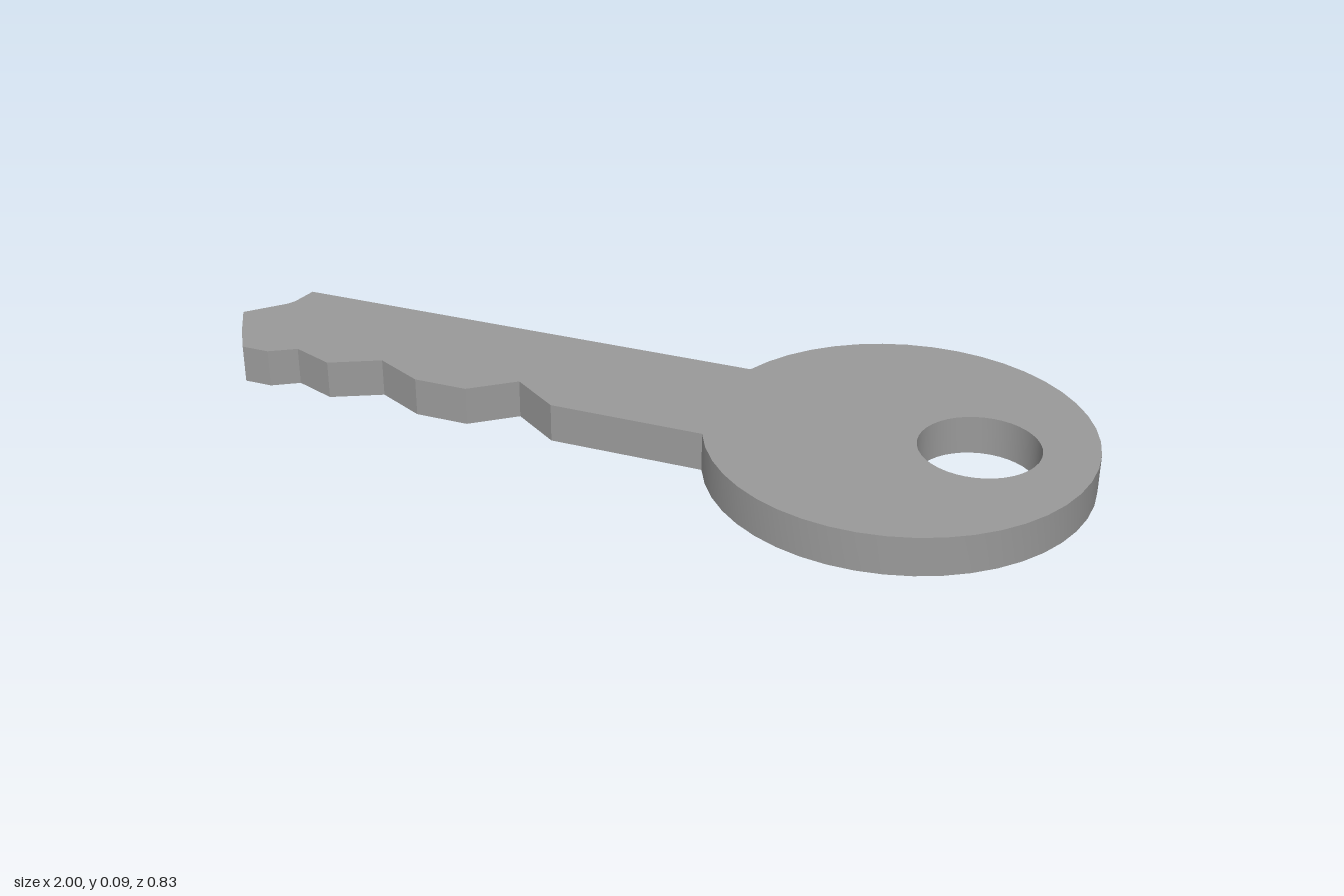
import * as THREE from 'three';
import { toCreasedNormals } from 'three/addons/utils/BufferGeometryUtils.js';

const THICKNESS = 0.087;
const HEAD = { x: 0.586, radius: 0.414 };
const HOLE = { x: 0.755, radius: 0.129 };
const HALF_WIDTH = 0.158;

// Blade edge as [x, z], from the straight back edge round the softened tip and along the teeth
const BLADE = [
  [-0.905, -HALF_WIDTH], [-0.917, -0.095], [-0.927, -0.077], [-1, 0],
  [-0.95, 0.088], [-0.905, HALF_WIDTH], [-0.84, HALF_WIDTH],
  [-0.783, 0.122], [-0.687, HALF_WIDTH],
  [-0.578, 0.103], [-0.467, HALF_WIDTH], [-0.345, HALF_WIDTH],
  [-0.25, 0.083], [-0.142, HALF_WIDTH],
];

export function createModel() {
  // Outline: toothed blade, then the round head from one shoulder to the other
  const shoulder = Math.PI - Math.asin(HALF_WIDTH / HEAD.radius);
  const outline = new THREE.Shape();
  BLADE.forEach(([x, z], i) => (i ? outline.lineTo(x, z) : outline.moveTo(x, z)));
  outline.absarc(HEAD.x, 0, HEAD.radius, shoulder, -shoulder, true);
  outline.closePath();

  // Ring hole in the head
  const hole = new THREE.Path();
  hole.absarc(HOLE.x, 0, HOLE.radius, 0, Math.PI * 2, false);
  outline.holes.push(hole);

  // Extrude and lay flat on the ground
  const geometry = new THREE.ExtrudeGeometry(outline, {
    depth: THICKNESS, bevelEnabled: false, curveSegments: 20,
  });
  geometry.rotateX(Math.PI / 2);
  geometry.translate(0, THICKNESS, 0);

  const key = new THREE.Mesh(
    toCreasedNormals(geometry, Math.PI / 9),
    new THREE.MeshStandardMaterial({ color: 0x9a9a9a }),
  );
  key.name = 'keyBody';

  const group = new THREE.Group();
  group.name = 'key';
  group.add(key);
  return group;
}
